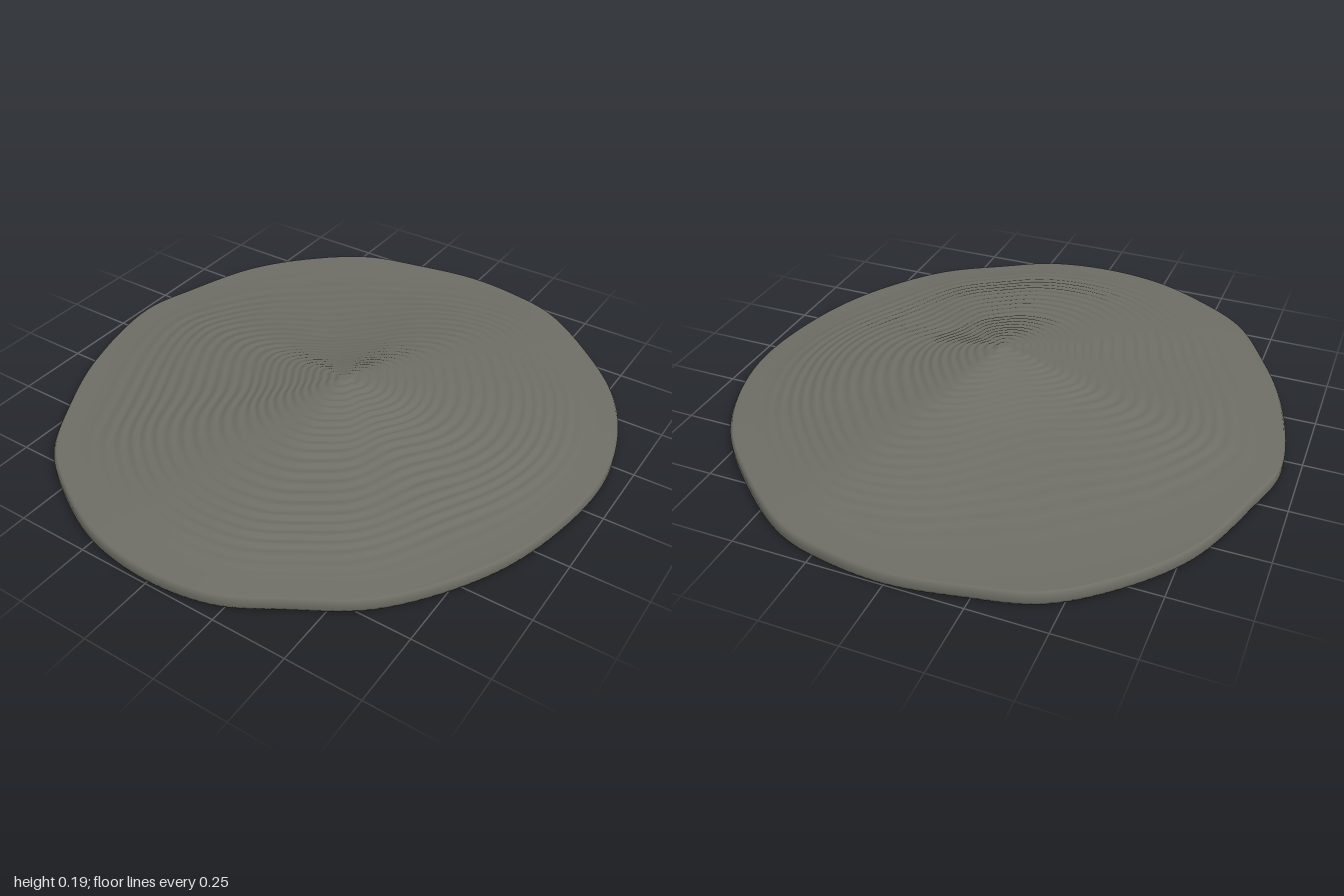
import * as THREE from 'three';

const SEGMENTS = 176;
const STEPS = 190;
const RIM = 0.045;
const PEAK = new THREE.Vector2(0.06, 0.04);

// Irregular outline of the slab, as x, z pairs
const OUTLINE = [
  [0, -1], [0.21, -0.98], [0.38, -0.93], [0.61, -0.76], [0.79, -0.57], [0.9, -0.34], [0.94, -0.1],
  [0.89, 0.24], [0.79, 0.48], [0.61, 0.72], [0.4, 0.86], [0.22, 0.96], [0, 0.995],
  [-0.235, 0.965], [-0.445, 0.87], [-0.625, 0.74], [-0.76, 0.53], [-0.87, 0.29],
  [-0.945, -0.08], [-0.895, -0.29], [-0.79, -0.57], [-0.63, -0.77], [-0.445, -0.91], [-0.235, -0.965],
];

// Height above the rim against distance from the peak (0 peak, 1 rim)
const PROFILE = [[0, 1], [0.1, 0.89], [0.2, 0.76], [0.35, 0.58], [0.5, 0.45], [0.65, 0.32], [0.8, 0.16], [0.92, 0.05], [1, 0]];

function slope(t) {
  const i = Math.max(1, PROFILE.findIndex(p => p[0] >= t));
  const [a, b] = [PROFILE[i - 1], PROFILE[i]];
  return THREE.MathUtils.lerp(a[1], b[1], (t - a[0]) / (b[0] - a[0]));
}

// Soft bump around one compass direction
function lobe(angle, centre, width) {
  const d = Math.atan2(Math.sin(angle - centre), Math.cos(angle - centre));
  return Math.exp(-((d / width) ** 2));
}

// Cone with a hollow at the back left and fine terraces along its levels
function moundHeight(t, angle) {
  const hollow = lobe(angle, -2.2, 0.55);
  const bend = 1 + 0.8 * hollow + 0.3 * lobe(angle, 2.7, 0.5) + 0.2 * lobe(angle, 0.5, 0.35)
    - 0.1 * lobe(angle, -1.2, 0.3);
  const h = 0.148 * Math.pow(slope(t), bend);
  const fade = THREE.MathUtils.smoothstep(1 - t, 0.06, 0.25) * (1 - 0.75 * hollow);
  return RIM + h + 0.002 * fade * Math.sin(h * 2 * Math.PI / 0.0062);
}

function moundGeometry() {
  const curve = new THREE.CatmullRomCurve3(OUTLINE.map(([x, z]) => new THREE.Vector3(x, 0, z)), true);
  const edge = curve.getPoints(SEGMENTS).slice(0, SEGMENTS);
  const positions = [];
  const index = [];

  // Underside and rim wall, as scale and height
  for (const [scale, y] of [[0, 0], [0.88, 0], [0.995, 0], [1, 0.012], [1, 0.034], [0.993, RIM]]) {
    for (const p of edge) positions.push(p.x * scale, y, p.z * scale);
  }
  // Terraced upper surface, from the rim in to the peak
  for (let r = 1; r <= STEPS; r++) {
    const t = 1 - r / STEPS;
    for (const p of edge) {
      const dx = p.x * 0.993 - PEAK.x, dz = p.z * 0.993 - PEAK.y;
      positions.push(PEAK.x + dx * t, moundHeight(t, Math.atan2(dz, dx)), PEAK.y + dz * t);
    }
  }

  const rings = positions.length / 3 / SEGMENTS;
  for (let r = 0; r < rings - 1; r++) {
    for (let s = 0; s < SEGMENTS; s++) {
      const n = (s + 1) % SEGMENTS;
      const a = r * SEGMENTS + s, b = r * SEGMENTS + n;
      const c = a + SEGMENTS, d = b + SEGMENTS;
      if (r < rings - 2) index.push(a, c, d);
      if (r > 0) index.push(a, d, b);
      else index.push(a, c, d);
      if (r === 0) index.splice(-3);
    }
  }
  const geometry = new THREE.BufferGeometry();
  geometry.setAttribute('position', new THREE.Float32BufferAttribute(positions, 3));
  geometry.setIndex(index);
  geometry.computeVertexNormals();
  return geometry;
}

export function createModel() {
  const group = new THREE.Group();
  group.name = 'terracedMound';
  const stone = new THREE.MeshStandardMaterial({ color: 0x6e6e66 });
  stone.name = 'grey stone';
  const mound = new THREE.Mesh(moundGeometry(), stone);
  mound.name = 'mound';
  group.add(mound);
  return group;
}
